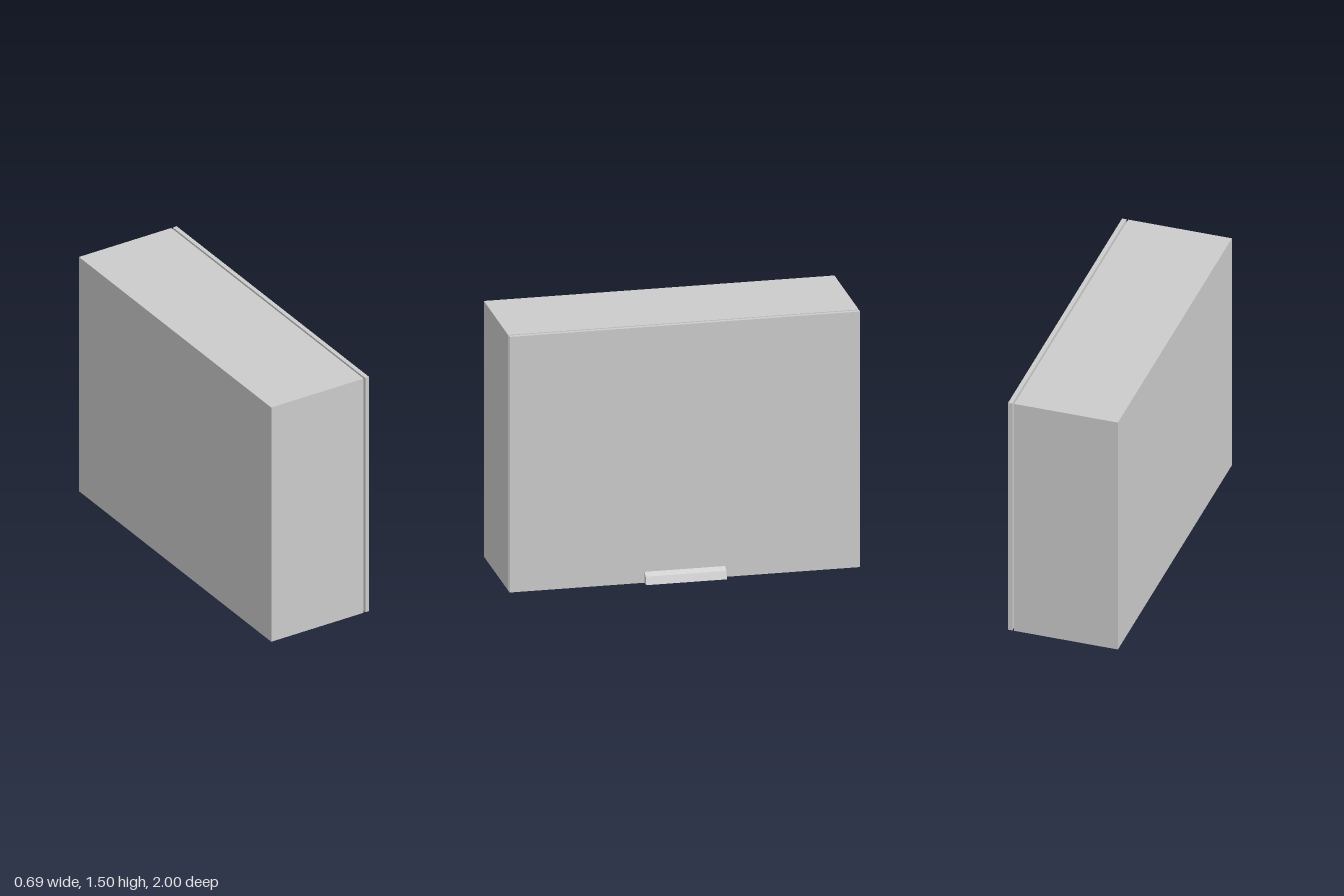
import * as THREE from 'three';

const material = new THREE.MeshStandardMaterial({ color: 0xcccccc, flatShading: true, side: THREE.DoubleSide });

export function createModel() {
  const model = new THREE.Group();
  model.name = 'wallCabinet';

  const add = (name, geometry, x, y, z, parent = model) => {
    const mesh = new THREE.Mesh(geometry, material);
    mesh.name = name;
    mesh.position.set(x, y, z);
    parent.add(mesh);
    return mesh;
  };
  // Box given by its lower and upper corners
  const box = (name, [x0, y0, z0], [x1, y1, z1], parent) =>
    add(name, new THREE.BoxGeometry(x1 - x0, y1 - y0, z1 - z0),
      (x0 + x1) / 2, (y0 + y1) / 2, (z0 + z1) / 2, parent);

  const back = -0.345, front = 0.263, height = 1.5, t = 0.03;

  // Carcass: panels, open towards the door
  const carcass = new THREE.Group();
  carcass.name = 'carcass';
  model.add(carcass);
  box('backPanel', [back, 0, -1], [back + t, height, 1], carcass);
  box('bottomPanel', [back + t, 0, -1], [front, t, 1], carcass);
  box('topPanel', [back + t, height - t, -1], [front, height, 1], carcass);
  for (const s of [-1, 1]) {
    const z = [s, s * (1 - t)].sort((a, b) => a - b);
    box('sidePanel', [back + t, t, z[0]], [front, height - t, z[1]], carcass);
  }

  // Shelves with low eight-sided dishes reaching the front edge
  const dishes = [[0.5, [-0.64, -0.05]], [1.185, [-0.35]]];
  for (const [y, places] of dishes) {
    box('shelf', [back + t, y - t, -1 + t], [front, y, 1 - t], carcass);
    for (const z of places) {
      const dish = new THREE.CylinderGeometry(0.23, 0.15, 0.01, 8);
      dish.rotateY(Math.PI / 8);
      add('dish', dish, 0.054, y + 0.005, z);
    }
  }

  // Door, set slightly off the carcass
  box('door', [0.274, 0, -1], [0.299, height, 1]);

  // Cup pull: thin angled shell, open below, closed at both ends
  const handle = new THREE.Group();
  handle.name = 'handle';
  model.add(handle);
  const outer = [[0.299, 0], [0.299, 0.064], [0.329, 0.045], [0.343, 0]];
  const shell = [[0.299, 0.064], [0.329, 0.045], [0.343, 0], [0.337, 0], [0.325, 0.041], [0.299, 0.057]];
  const extrude = (name, points, z0, z1) => {
    const shape = new THREE.Shape(points.map(([x, y]) => new THREE.Vector2(x, y)));
    const geometry = new THREE.ExtrudeGeometry(shape, { depth: z1 - z0, bevelEnabled: false });
    add(name, geometry, 0, 0, z0, handle);
  };
  extrude('handleShell', shell, -0.224, 0.224);
  extrude('handleEnd', outer, -0.23, -0.224);
  extrude('handleEnd', outer, 0.224, 0.23);

  return model;
}
